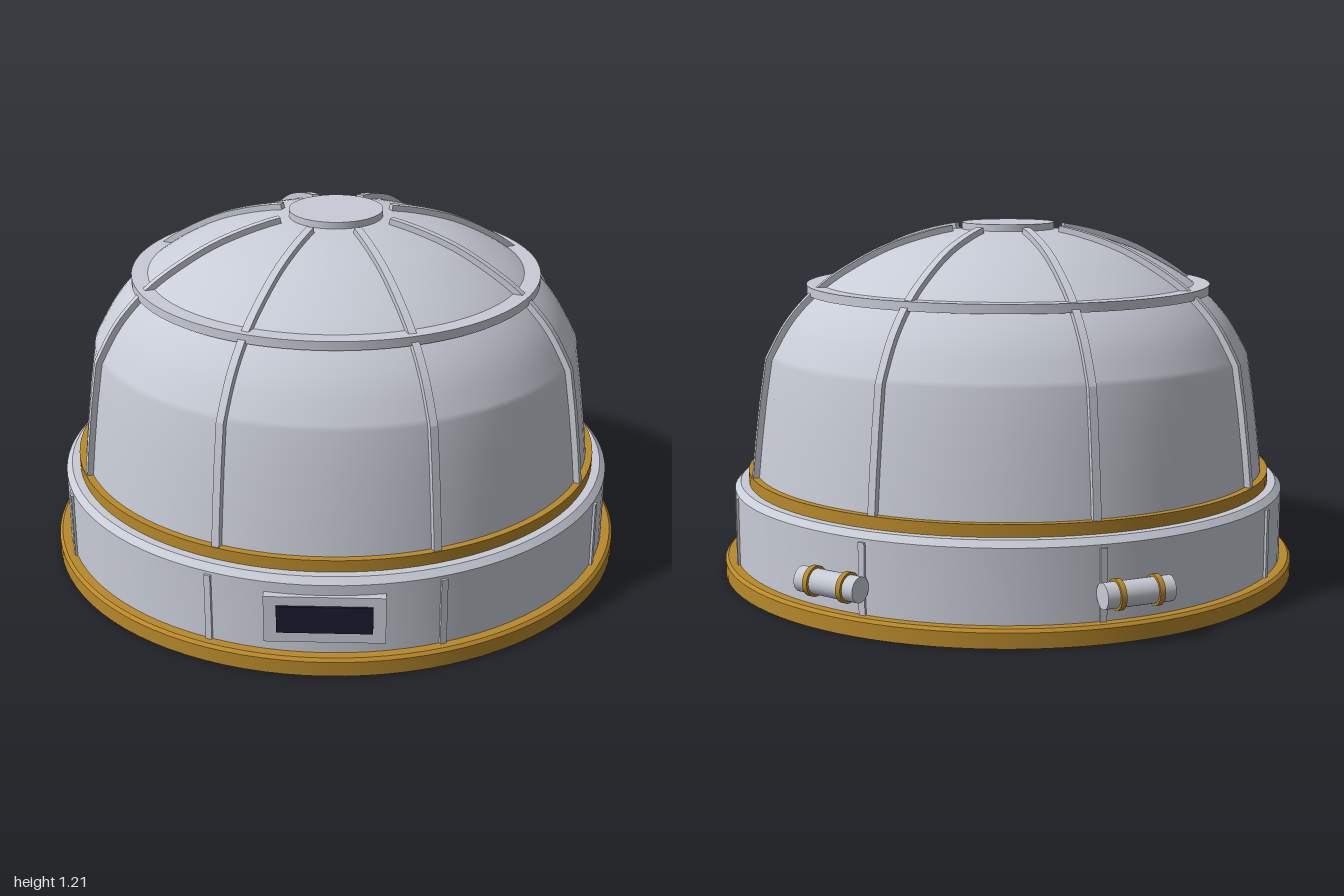
import * as THREE from 'three';
import { toCreasedNormals } from 'three/addons/utils/BufferGeometryUtils.js';

const SEG = 96;
const V = (x, y) => new THREE.Vector2(x, y);

export function createModel() {
  const model = new THREE.Group();
  const grey = new THREE.MeshStandardMaterial({ name: 'paleGrey', color: 0xc8ccd6 });
  const gold = new THREE.MeshStandardMaterial({ name: 'gold', color: 0xb8892b });
  const dark = new THREE.MeshStandardMaterial({ name: 'darkNavy', color: 0x1a1a2e });

  const add = (name, geometry, material, parent = model) => {
    const mesh = new THREE.Mesh(geometry, material);
    mesh.name = name;
    parent.add(mesh);
    return mesh;
  };
  // Closed ring turned from a profile: outer side upwards, then inner side down
  const ring = (name, profile, material) => {
    const pts = [...profile, profile[0]].map(([r, y]) => V(r, y));
    return add(name, toCreasedNormals(new THREE.LatheGeometry(pts, SEG), 0.4), material);
  };

  // Base flange, drum and collar
  ring('baseFlange', [[0.95, 0], [1, 0], [1, 0.05], [0.99, 0.06], [0.95, 0.06]], gold);
  ring('drum', [[0.94, 0.03], [0.96, 0.03], [0.96, 0.3], [0.94, 0.32], [0.87, 0.32], [0.87, 0.3], [0.94, 0.29]], grey);
  ring('collar', [[0.87, 0.315], [0.912, 0.315], [0.912, 0.36], [0.87, 0.36]], gold);

  // Dome: sloping wall running into a rounded crown
  const crown = new THREE.SplineCurve([
    V(0.835, 0.76), V(0.765, 0.88), V(0.67, 0.98), V(0.55, 1.06),
    V(0.4, 1.13), V(0.2, 1.18), V(0, 1.19),
  ]).getPoints(30);
  crown[crown.length - 1].x = 0;
  const domeProfile = [V(0.89, 0.34), V(0.875, 0.48), V(0.857, 0.62), ...crown];
  add('dome', new THREE.LatheGeometry(domeProfile, SEG), grey);
  ring('domeBand', [[0.64, 0.97], [0.7, 0.97], [0.7, 1], [0.64, 1]], grey);
  const cap = add('crownCap', new THREE.CylinderGeometry(0.16, 0.16, 0.035, 64), grey);
  cap.position.y = 1.19;

  // Rib outline: the dome profile offset outwards and inwards
  const path = domeProfile.filter((p) => p.x >= 0.19);
  const offset = (d) => path.map((p, i) => {
    const a = path[Math.max(i - 1, 0)], b = path[Math.min(i + 1, path.length - 1)];
    const t = b.clone().sub(a).normalize();
    return V(p.x + t.y * d, p.y - t.x * d);
  });
  const ribShape = new THREE.Shape([...offset(0.02), ...offset(-0.02).reverse()]);
  const ribGeometry = new THREE.ExtrudeGeometry(ribShape, { depth: 0.026, bevelEnabled: false });
  ribGeometry.translate(0, 0, -0.013);
  const stripGeometry = new THREE.BoxGeometry(0.02, 0.23, 0.022);

  // Eight ribs on the dome with matching strips on the drum
  for (let i = 0; i < 8; i++) {
    const angle = Math.PI / 8 + (i * Math.PI) / 4;
    add('domeRib', ribGeometry, grey).rotation.y = angle;
    const strip = add('drumStrip', stripGeometry, grey);
    strip.position.set(0.958 * Math.cos(angle), 0.175, -0.958 * Math.sin(angle));
    strip.rotation.y = angle;
  }

  // Display panel at the front
  const panel = add('displayPanel', new THREE.BoxGeometry(0.38, 0.16, 0.06), grey);
  panel.position.set(0, 0.185, 0.942);
  const screen = add('displayScreen', new THREE.BoxGeometry(0.3, 0.092, 0.009), dark);
  screen.position.set(0, 0.188, 0.9755);

  // Pair of clamped canisters at the back
  for (const side of [-1, 1]) {
    const canister = new THREE.Group();
    canister.name = side > 0 ? 'leftCanister' : 'rightCanister';
    const body = add('canisterBody', new THREE.CylinderGeometry(0.041, 0.041, 0.23, 24), grey, canister);
    body.rotation.z = Math.PI / 2;
    for (const x of [-0.065, 0.065]) {
      const clamp = add('canisterClamp', new THREE.CylinderGeometry(0.049, 0.049, 0.018, 24), gold, canister);
      clamp.rotation.z = Math.PI / 2;
      clamp.position.x = x;
    }
    const a = 0.49;
    canister.position.set(side * 0.995 * Math.sin(a), 0.152, -0.995 * Math.cos(a));
    canister.rotation.y = -side * a;
    model.add(canister);
  }

  // Dark floor inside the drum
  const floor = add('innerFloor', new THREE.CylinderGeometry(0.84, 0.84, 0.02, SEG), dark);
  floor.position.y = 0.185;

  return model;
}
